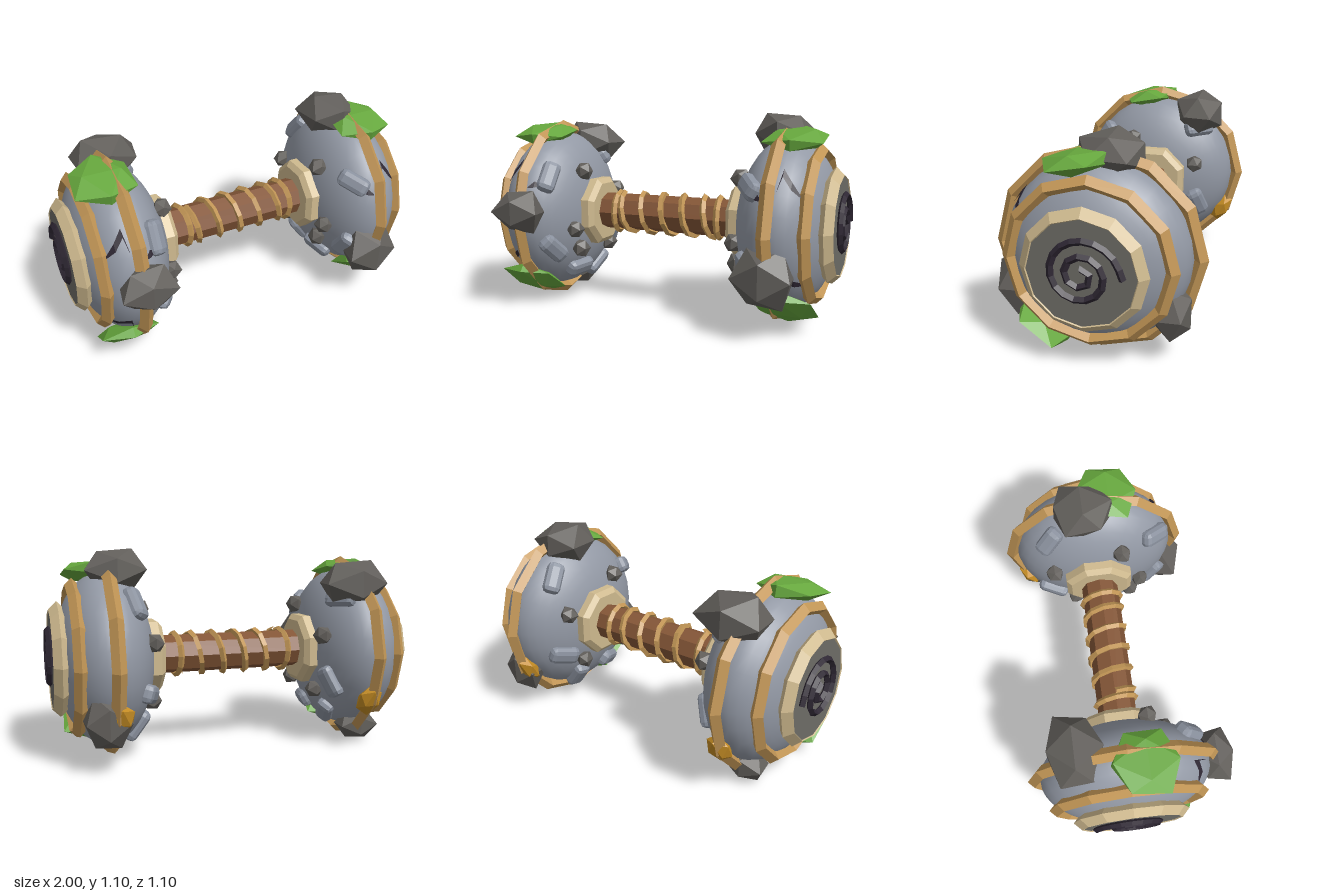
import * as THREE from 'three';
import { RoundedBoxGeometry } from 'three/addons/geometries/RoundedBoxGeometry.js';

const CY = 0.53, CZ = -0.02;              // dumbbell axis, running along x
const RX = 0.69;                          // outer rope position
const BX = 0.7, BA = 0.26, BR = 0.458;    // weight: centre, half width, radius

const mat = (name, color, side = THREE.FrontSide) => {
  const m = new THREE.MeshStandardMaterial({ color, side });
  m.name = name;
  return m;
};

// Faceted normals
function flat(geo) {
  const g = geo.index ? geo.toNonIndexed() : geo;
  g.computeVertexNormals();
  return g;
}

// Irregular faceted stone with half extents of about 1
function stone(seed, rough = 0.14) {
  const g = new THREE.IcosahedronGeometry(1, 0);
  const p = g.attributes.position;
  const v = new THREE.Vector3();
  for (let i = 0; i < p.count; i++) {
    v.fromBufferAttribute(p, i);
    const key = Math.round(v.x * 10) * 1.7 + Math.round(v.y * 10) * 3.1 + Math.round(v.z * 10) * 5.3;
    v.multiplyScalar(1.12 + rough * Math.sin(key + seed * 2.3));
    p.setXYZ(i, v.x, v.y, v.z);
  }
  return flat(g);
}

// Tube along a list of points with a diamond section
function cord(points, steps, radius) {
  return flat(new THREE.TubeGeometry(new THREE.CatmullRomCurve3(points), steps, radius, 4));
}

export function createModel() {
  const model = new THREE.Group();
  const M = {
    body: mat('blueGreyStone', 0x9399a5),
    chip: mat('paleStone', 0x8b929f),
    rock: mat('darkRock', 0x625f5b),
    plate: mat('greyPlate', 0x6d6c66),
    rope: mat('rope', 0xc29656),
    collar: mat('tan', 0xcfba8f),
    handle: mat('brownWood', 0x845637),
    moss: mat('moss', 0x66a73d),
    dark: mat('darkPurple', 0x2e2733, THREE.DoubleSide),
    gold: mat('gold', 0xc48c24),
  };
  const add = (name, geo, material, x = 0, y = CY, z = CZ, parent = model) => {
    const m = new THREE.Mesh(geo, material);
    m.name = name;
    m.position.set(x, y, z);
    parent.add(m);
    return m;
  };

  // Handle with a spiral wrap
  add('handle', flat(new THREE.CylinderGeometry(0.105, 0.105, 0.9, 8)), M.handle).rotation.z = Math.PI / 2;
  const turns = 4.5, helix = [];
  for (let i = 0; i <= turns * 8; i++) {
    const a = (i / 8) * Math.PI * 2;
    helix.push(new THREE.Vector3(-0.28 + 0.125 * i / 8, 0.113 * Math.cos(a), 0.113 * Math.sin(a)));
  }
  add('handleWrap', cord(helix, turns * 10, 0.018), M.rope);

  const ring = (name, x, R, t, material, parent) => {
    const r = add(name, flat(new THREE.TorusGeometry(R, t, 4, 12)), material, x, CY, CZ, parent);
    r.rotation.y = Math.PI / 2;
    return r;
  };
  for (const s of [-1, 1]) ring('handleEndBand', s * 0.31, 0.112, 0.018, M.rope, model).rotation.y += 0.12;

  for (const s of [-1, 1]) {
    const end = new THREE.Group();
    end.name = s > 0 ? 'leftWeight' : 'rightWeight';
    model.add(end);

    // Flattened round body
    const body = new THREE.SphereGeometry(1, 28, 20);
    body.scale(BR, BA, BR);
    add('body', body, M.body, s * BX, CY, CZ, end).rotation.z = -s * Math.PI / 2;

    // Collar where the handle meets the body
    const profile = [[0, 0.395], [0.175, 0.395], [0.205, 0.42], [0.205, 0.485], [0.15, 0.51]];
    const collar = new THREE.LatheGeometry(profile.map(p => new THREE.Vector2(...p)), 8, Math.PI / 8);
    add('collar', flat(collar), M.collar, 0, CY, CZ, end).rotation.z = -s * Math.PI / 2;

    // Rope rings, face rim and face plate
    ring('outerRope', s * RX, 0.49, 0.036, M.rope, end);
    ring('innerRope', s * 0.855, 0.39, 0.036, M.rope, end);
    ring('faceRim', s * 0.935, 0.265, 0.042, M.collar, end);
    add('facePlate', flat(new THREE.CylinderGeometry(0.266, 0.275, 0.1, 12)), M.plate, s * 0.922, CY, CZ, end)
      .rotation.z = -s * Math.PI / 2;

    // Raised spiral on the face
    const spiral = [];
    for (let i = 0; i <= 27; i++) {
      const a = (i / 12) * Math.PI * 2, r = 0.195 - 0.163 * (i / 27) ** 0.75;
      spiral.push(new THREE.Vector3(0, r * Math.sin(a), -r * Math.cos(a)));
    }
    add('spiral', cord(spiral, 27, 0.018), M.dark, s * 0.982, CY, CZ, end);

    // Moss patches: [dy, dz]
    [[0.452, 0.085], [-0.385, 0.265]].forEach(([dy, dz], i) => {
      const m = add('mossPatch', stone(i + 1, 0.08), M.moss, s * 0.745, CY + dy, CZ + dz, end);
      m.scale.set(0.16, 0.048, 0.165);
      m.rotation.x = Math.atan2(dz, dy);
    });

    // Stone chips set on the inner side of the body
    [57, 118, 160, 200, 240, 320].forEach((deg, i) => {
      const a = deg * Math.PI / 180, x = [0.58, 0.56, 0.53, 0.55, 0.51, 0.57][i];
      const r = BR * Math.sqrt(1 - ((x - BX) / BA) ** 2);
      const n = new THREE.Vector3(s * (x - BX) / BA ** 2, r * Math.cos(a) / BR ** 2, r * Math.sin(a) / BR ** 2).normalize();
      const c = add('stoneChip', flat(new RoundedBoxGeometry(0.1, 0.08, 0.18, 1, 0.03)), M.chip,
        s * x, CY + r * Math.cos(a), CZ + r * Math.sin(a), end);
      c.quaternion.setFromUnitVectors(new THREE.Vector3(0, 1, 0), n);
      c.rotateY(i * 1.3 + 0.4);
    });

    // Pebbles around the collar: [dy, dz]
    [[0.24, 0.14], [-0.08, 0.25], [-0.2, 0.19], [0.1, -0.25], [-0.22, -0.14]].forEach(([dy, dz], i) => {
      add('pebble', stone(i + 4, 0.08), M.rock, s * 0.47, CY + dy, CZ + dz, end).scale.setScalar(0.048);
    });

    // Gold nugget on the rope at the lower back
    const nugget = add('goldNugget', stone(9, 0.08), M.gold, s * 0.675, 0.285, -0.425, end);
    nugget.scale.set(0.065, 0.045, 0.085);
    nugget.rotation.x = Math.atan2(-0.4, -0.245);

    // Cracks on the front, thin tapered strips laid on the body: [x, y] points
    const cracks = [
      [[0.84, 0.71], [0.79, 0.77], [0.745, 0.83], [0.73, 0.75]],
      [[0.86, 0.27], [0.81, 0.29], [0.755, 0.32], [0.74, 0.26]],
      [[0.66, 0.7], [0.63, 0.715], [0.6, 0.71]],
    ];
    for (const line of cracks) {
      const pos = [], idx = [];
      line.forEach(([x, y], i) => {
        const w = i === 0 || i === line.length - 1 ? 0.003 : 0.017;
        for (const d of [-w, w]) {
          const yy = y + d;
          const z = Math.sqrt(BR ** 2 * (1 - ((x - BX) / BA) ** 2) - (yy - CY) ** 2);
          pos.push(s * x, yy, CZ + z + 0.009);
        }
        if (i) idx.push(2 * i - 2, 2 * i, 2 * i - 1, 2 * i - 1, 2 * i, 2 * i + 1);
      });
      const g = new THREE.BufferGeometry();
      g.setAttribute('position', new THREE.Float32BufferAttribute(pos, 3));
      g.setIndex(idx);
      add('crack', flat(g), M.dark, 0, 0, 0, end);
    }
  }

  // Large boulders: position, then half sizes
  [
    [0.645, 1.0, -0.08, 0.155, 0.105, 0.165],
    [0.675, 0.32, 0.385, 0.15, 0.15, 0.12],
    [0.735, 0.27, -0.39, 0.115, 0.145, 0.1],
    [-0.635, 0.915, -0.27, 0.18, 0.12, 0.14],
    [-0.68, 0.57, 0.46, 0.14, 0.115, 0.1],
    [-0.71, 0.1, -0.21, 0.11, 0.09, 0.095],
  ].forEach(([x, y, z, a, b, c], i) => {
    add('boulder', stone(i + 11, 0.1), M.rock, x, y, z).scale.set(a, b, c);
  });

  return model;
}
